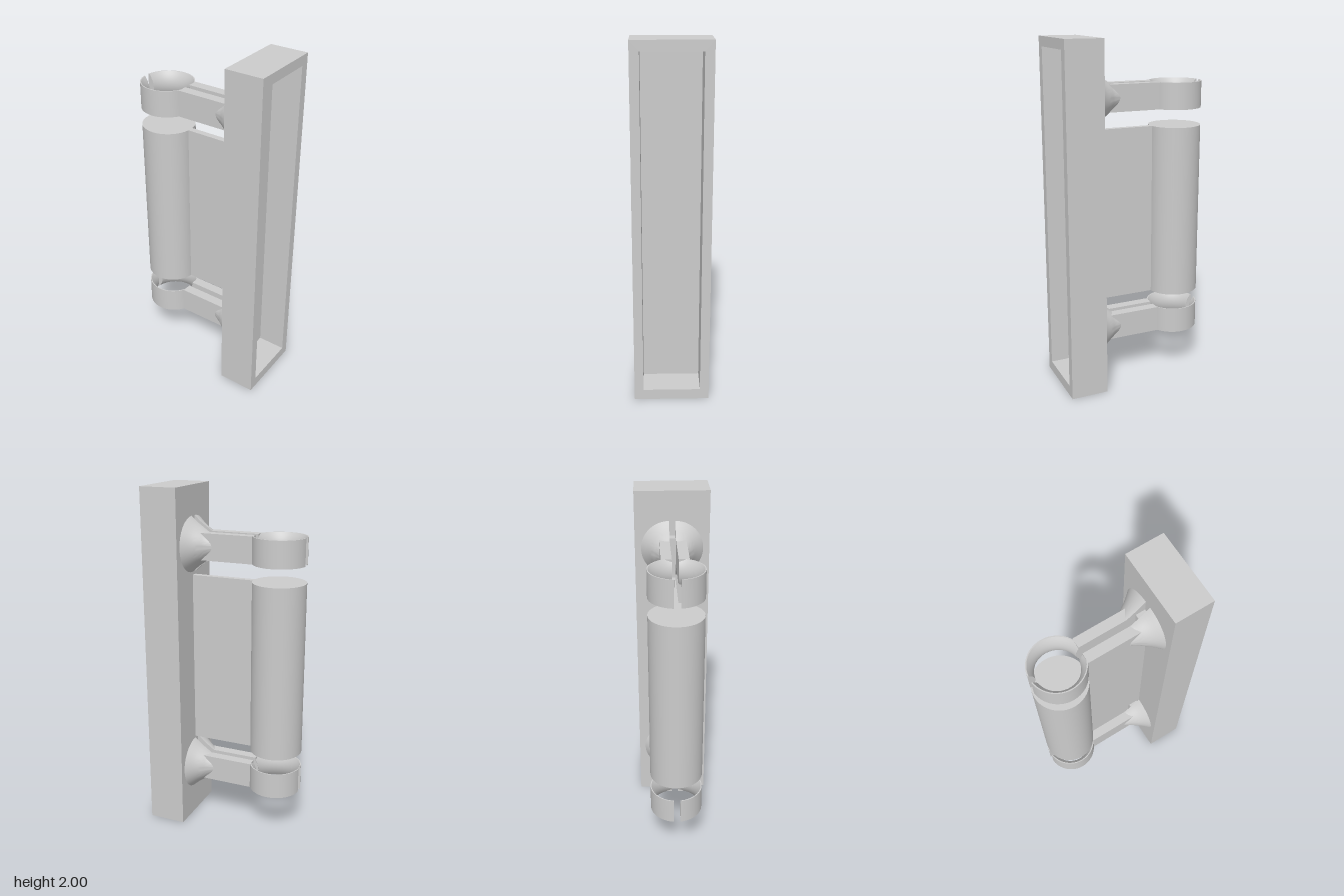
import * as THREE from 'three';
import { toCreasedNormals } from 'three/addons/utils/BufferGeometryUtils.js';

const mat = new THREE.MeshStandardMaterial({ color: 0xcccccc, side: THREE.DoubleSide });
const SLIT = 0.018;      // half width of the slit and of the web
const BACK = 0.225;      // z of the tray's rear face
const AXIS = -0.29;      // z of the cylinder axis
const V = (x, y) => new THREE.Vector2(x, y);

function add(parent, name, geometry, x = 0, y = 0, z = 0) {
  const mesh = new THREE.Mesh(geometry, mat);
  mesh.name = name;
  mesh.position.set(x, y, z);
  parent.add(mesh);
  return mesh;
}

function box(parent, name, x0, x1, y0, y1, z0, z1) {
  return add(parent, name, new THREE.BoxGeometry(x1 - x0, y1 - y0, z1 - z0),
    (x0 + x1) / 2, (y0 + y1) / 2, (z0 + z1) / 2);
}

function rectangle(PathType, w, y0, y1) {
  return new PathType([V(-w, y0), V(w, y0), V(w, y1), V(-w, y1), V(-w, y0)]);
}

// Half ring whose bore narrows towards the middle, with parallel slit faces
function halfRing(parent) {
  const R = 0.15, H = 0.075, rim = 0.144, waist = 0.115;
  const profile = [V(R, -H), V(R, H)];
  for (let i = 0; i <= 10; i++) {
    const y = H - (2 * H * i) / 10;
    profile.push(V(waist + (rim - waist) * (y / H) ** 2, y));
  }
  profile.push(V(R, -H));
  const start = Math.asin(SLIT / R), segments = 32;
  const ring = new THREE.LatheGeometry(profile, segments, start, Math.PI - 2 * start);
  const pos = ring.attributes.position;
  for (let j = 0; j < profile.length; j++) {
    pos.setX(j, SLIT);
    pos.setX(segments * profile.length + j, SLIT);
  }
  add(parent, 'clipRing', toCreasedNormals(ring, 0.6), 0, 0, AXIS);

  for (const side of [-1, 1]) {
    const end = new THREE.ShapeGeometry(new THREE.Shape(profile.slice(0, -1)));
    end.rotateY((side * Math.PI) / 2);
    add(parent, 'clipRingEnd', end, SLIT, 0, AXIS);
  }
}

// Half of the flared foot, flat on the slit side
function halfFoot(parent) {
  const curve = new THREE.SplineCurve([
    V(0.157, 0), V(0.122, 0.04), V(0.094, 0.08), V(0.075, 0.108), V(0.057, 0.145), V(0.05, 0.16),
  ]);
  const profile = [...curve.getPoints(16), V(0, 0.16)];
  const flare = new THREE.LatheGeometry(profile, 32, 0, Math.PI);
  flare.rotateX(-Math.PI / 2);
  add(parent, 'clipFoot', toCreasedNormals(flare, 0.6), SLIT, 0, BACK);

  const outline = [...profile, ...profile.slice(0, -1).reverse().map(p => V(-p.x, p.y))];
  const face = new THREE.ShapeGeometry(new THREE.Shape(outline));
  face.rotateY(-Math.PI / 2);
  face.rotateX(-Math.PI / 2);
  add(parent, 'clipFootFace', face, SLIT, 0, BACK);
}

function clip(y) {
  const group = new THREE.Group();
  group.name = 'clip';
  group.position.y = y;
  // The halves are symmetric in y, so a half turn about z makes the other one
  for (const turn of [0, Math.PI]) {
    const half = new THREE.Group();
    half.name = 'clipHalf';
    half.rotation.z = turn;
    halfRing(half);
    halfFoot(half);
    box(half, 'clipArm', SLIT, 0.075, -0.075, 0.075, -0.157, BACK);
    group.add(half);
  }
  box(group, 'slitFloor', -SLIT, SLIT, -0.075, 0.075, 0.17, BACK);
  return group;
}

export function createModel() {
  const model = new THREE.Group();
  model.name = 'clipMount';

  // Tray open to the front
  const frame = rectangle(THREE.Shape, 0.21, 0, 2);
  frame.holes.push(rectangle(THREE.Path, 0.16, 0.06, 1.945));
  const depth = 0.165;
  add(model, 'trayFrame', new THREE.ExtrudeGeometry(frame, { depth, bevelEnabled: false }), 0, 0, 0.44 - depth);
  box(model, 'trayBack', -0.21, 0.21, 0, 2, BACK, 0.44 - depth);

  // Solid cylinder on a thin web
  add(model, 'cylinder', new THREE.CylinderGeometry(0.15, 0.15, 1, 64), 0, 1, AXIS);
  box(model, 'web', -SLIT, SLIT, 0.5, 1.5, AXIS + 0.1, BACK);

  // Split clips above and below the cylinder
  for (const y of [0.333, 1.675]) model.add(clip(y));
  return model;
}
